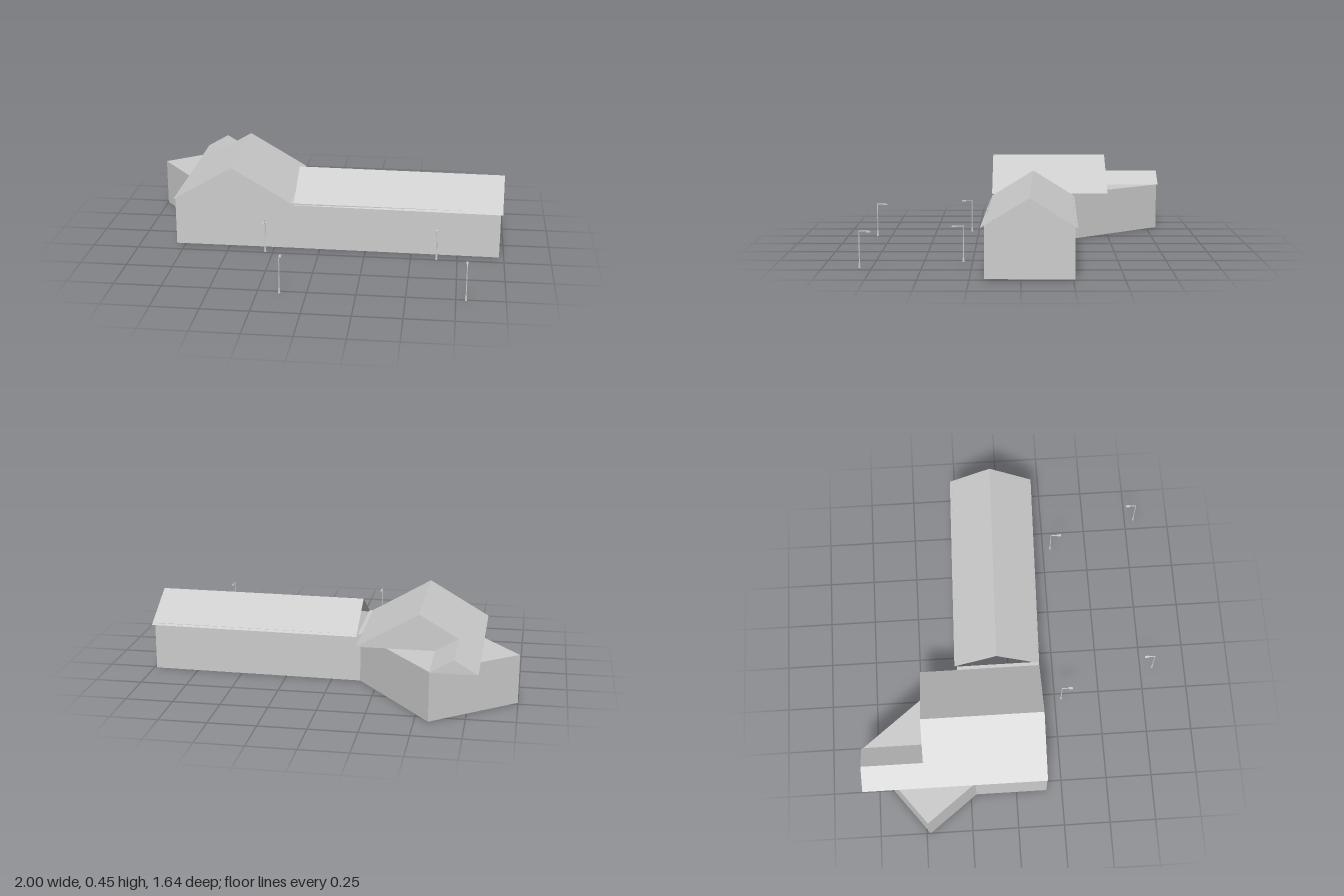
import * as THREE from 'three';

const mat = new THREE.MeshStandardMaterial({ color: 0xcccccc, flatShading: true, side: THREE.DoubleSide });
const H = 0.26; // wall height

function add(parent, geometry, name) {
  const mesh = new THREE.Mesh(geometry, mat);
  mesh.name = name;
  parent.add(mesh);
  return mesh;
}

// Flat polygons (triangles or quads) given as corner lists
function faces(list) {
  const pos = [];
  for (const c of list)
    for (let i = 1; i < c.length - 1; i++) pos.push(...c[0], ...c[i], ...c[i + 1]);
  const g = new THREE.BufferGeometry();
  g.setAttribute('position', new THREE.Float32BufferAttribute(pos, 3));
  g.computeVertexNormals();
  return g;
}

// Pitched roof from two cross-sections [left eave, ridge, right eave]; closed ends are optional
function pitchedRoof(a, b, closeA, closeB) {
  const list = [
    [a[0], b[0], b[1], a[1]],
    [a[1], b[1], b[2], a[2]],
  ];
  if (closeA) list.push(a);
  if (closeB) list.push([...b].reverse());
  return faces(list);
}

// Street lamp whose arm reaches along z in direction dir
function lamp(x, z, dir) {
  const g = new THREE.Group();
  g.name = 'streetLamp';
  const base = add(g, new THREE.CylinderGeometry(0.005, 0.006, 0.025, 8), 'lampBase');
  base.position.y = 0.0325;
  const pole = add(g, new THREE.CylinderGeometry(0.0025, 0.003, 0.165, 8), 'lampPole');
  pole.position.y = 0.1225;
  const arm = add(g, new THREE.BoxGeometry(0.004, 0.004, 0.05), 'lampArm');
  arm.position.set(0, 0.204, dir * 0.023);
  const head = add(g, new THREE.BoxGeometry(0.012, 0.006, 0.022), 'lampHead');
  head.position.set(0, 0.202, dir * 0.047);
  g.position.set(x, 0, z);
  return g;
}

export function createModel() {
  const model = new THREE.Group();
  model.name = 'building';

  // Outer walls: one closed loop of panels in plan (x, z)
  const plan = [
    [-0.80, 0.165], [-0.15, 0.165], [0.975, 0.178], [0.985, -0.26],
    [-0.155, -0.285], [-0.57, -0.81], [-1, -0.48], [-0.80, -0.22],
  ];
  add(model, faces(plan.map(([x, z], i) => {
    const [u, w] = plan[(i + 1) % plan.length];
    return [[x, 0, z], [u, 0, w], [u, H, w], [x, H, z]];
  })), 'walls');

  // Flat roof over the main block and the angled corner block
  const flat = [
    [-0.80, 0.165], [-0.14, 0.165], [-0.14, -0.285],
    [-0.155, -0.285], [-0.57, -0.81], [-1, -0.48], [-0.80, -0.22],
  ];
  const cap = new THREE.ShapeGeometry(new THREE.Shape(flat.map(p => new THREE.Vector2(...p))));
  cap.rotateX(Math.PI / 2);
  add(model, cap, 'flatRoof').position.y = H - 0.001;

  // Main gabled roof
  const main = z => [[-0.81, H, z], [-0.485, 0.45, z], [-0.16, H, z]];
  add(model, pitchedRoof(main(0.166), main(-0.49), true, true), 'mainRoof');

  // Small rear roof running into the main roof slope
  const rear = z => [[-0.81, H, z], [-0.69, 0.33, z], [-0.57, H, z]];
  add(model, pitchedRoof(rear(-0.49), rear(-0.82), false, true), 'rearRoof');

  // Long wing roof, slightly skewed, with overhanging eaves
  add(model, pitchedRoof(
    [[-0.145, 0.25, 0.167], [-0.14, 0.395, -0.068], [-0.135, 0.25, -0.30]],
    [[0.985, 0.25, 0.197], [0.993, 0.395, -0.04], [1, 0.25, -0.272]],
    false, false), 'wingRoof');
  add(model, faces([[[0.975, H, 0.178], [0.985, H, -0.26], [0.98, 0.393, -0.04]]]), 'wingGable');

  // Two rows of lamps facing each other
  for (const [x, z, dir] of [[-0.285, 0.285, 1], [0.64, 0.292, 1], [-0.13, 0.815, -1], [0.8, 0.798, -1]])
    model.add(lamp(x, z, dir));

  return model;
}
